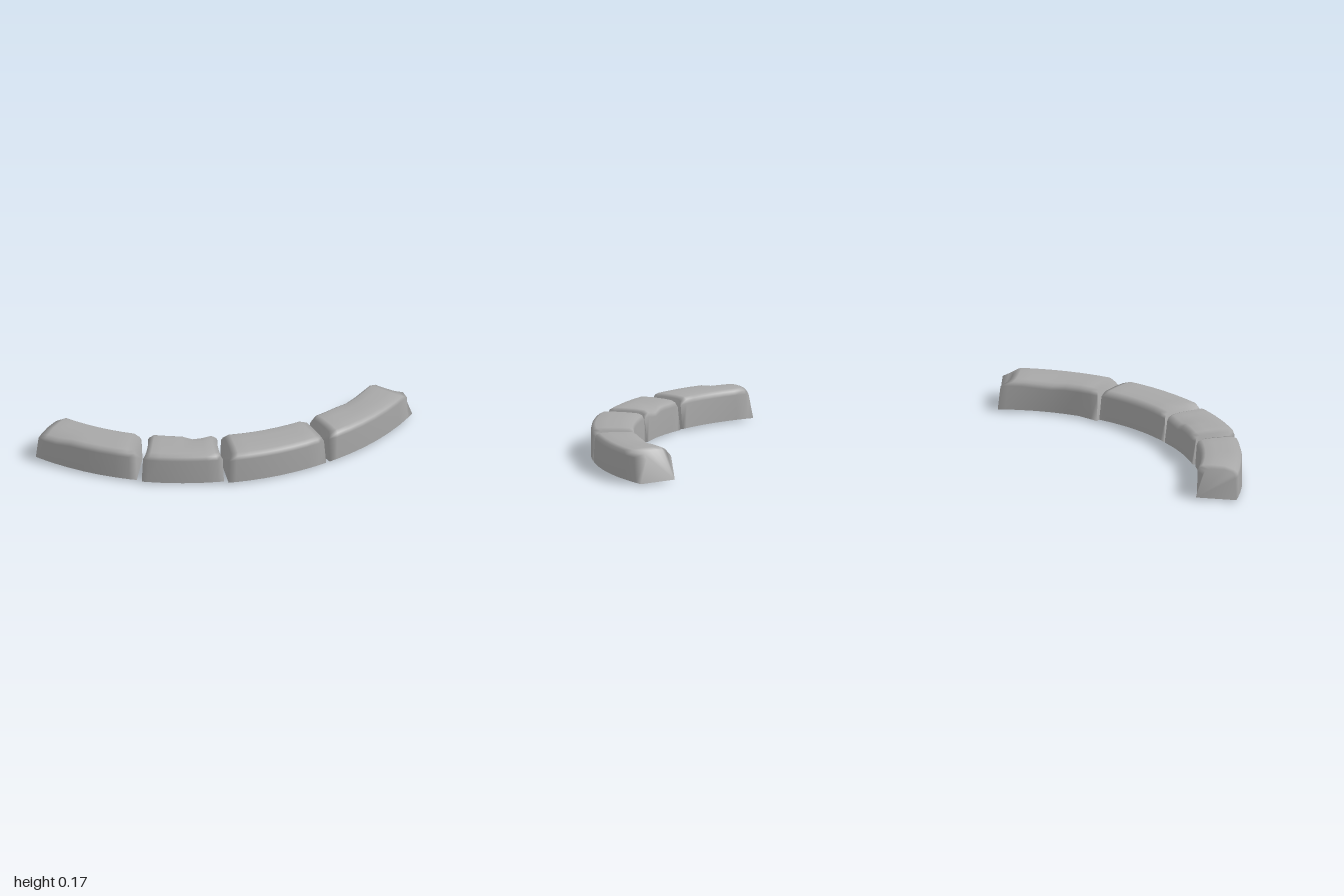
import * as THREE from 'three';

const CENTER_Z = -0.963; // centre of the kerb's arc
const DEG = Math.PI / 180;

// Cross-section, open underneath: [across the block 0 inner .. 1 outer, height]
const PROFILE = [
  [0, 0.01], [0, 0.14], [0.03, 0.161], [0.12, 0.172], [0.35, 0.175], [0.65, 0.175],
  [0.89, 0.172], [0.975, 0.161], [1, 0.14], [1, 0.01],
];

// Each end: angle at inner and outer side (degrees), inner and outer radius,
// lean of the end face and extra bevel at its top (radians),
// narrowing of the end face at its top (inner and outer side).
// Dents: position along and across the block, depth.
const JOINT = { lean: 0.004, bevel: 0.012, cutIn: 0.08, cutOut: 0.1 };
const BLOCKS = [
  { name: 'rightEndStone', dents: [[0.12, 1, 0.025]],
    start: { inner: -52.3, outer: -51.7, rIn: 1.062, rOut: 1.276, lean: 0.012, bevel: 0.01, cutIn: 0.2, cutOut: 0.05 },
    end: { ...JOINT, inner: -26.5, outer: -25.5, rIn: 1.045, rOut: 1.262 } },
  { name: 'rightMiddleStone', dents: [[0.7, 0, 0.025]],
    start: { ...JOINT, inner: -25.1, outer: -24.2, rIn: 1.037, rOut: 1.272 },
    end: { ...JOINT, inner: -4.8, outer: -4.8, rIn: 1.032, rOut: 1.258 } },
  { name: 'leftMiddleStone', dents: [],
    start: { ...JOINT, inner: -4.2, outer: -3.8, rIn: 1.034, rOut: 1.275, cutIn: 0.05, cutOut: 0.03 },
    end: { ...JOINT, inner: 22.1, outer: 21, rIn: 1.048, rOut: 1.268 } },
  { name: 'leftEndStone', dents: [[0.55, 0, 0.012]], sag: 0.01,
    start: { ...JOINT, inner: 22.9, outer: 22, rIn: 1.047, rOut: 1.268 },
    end: { inner: 52.3, outer: 51.7, rIn: 1.062, rOut: 1.276, lean: 0.016, bevel: 0.045, cutIn: 0.08, cutOut: 0.28 } },
];

function stoneGeometry({ start, end, dents, sag = 0 }) {
  const lerp = THREE.MathUtils.lerp;
  const steps = [0, 0.07, 0.2, 0.35, 0.5, 0.65, 0.8, 0.93, 1];
  const n = PROFILE.length;
  const pos = [];
  const index = [];

  steps.forEach((t, i) => {
    const side = i === 0 ? start : i === steps.length - 1 ? end : null;
    for (const [across, height] of PROFILE) {
      let u = across, y = height;
      const h = (height - 0.01) / 0.165;
      // worn spots along the top edges
      for (const [dt, du, depth] of dents) {
        y -= depth * h * Math.exp(-(((t - dt) / 0.13) ** 2) - ((across - du) / 0.25) ** 2);
      }
      if (side) { // narrow and lower the top of the end face
        u = lerp(side.cutIn * h, 1 - side.cutOut * h, u);
        y -= 0.01 * h * h;
      }
      // sagging lower corner
      if (across === 0 && height === 0.01) y -= sag * Math.max(0, 1 - t * 5);
      const shoulder = Math.max(0, (h - 0.79) / 0.21);
      const a0 = lerp(start.inner, start.outer, u) * DEG + start.lean * h + start.bevel * shoulder;
      const a1 = lerp(end.inner, end.outer, u) * DEG - end.lean * h - end.bevel * shoulder;
      const a = lerp(a0, a1, t);
      const r = lerp(lerp(start.rIn, end.rIn, t), lerp(start.rOut, end.rOut, t), u);
      pos.push(r * Math.sin(a), y, CENTER_Z + r * Math.cos(a));
    }
  });

  // Skin between neighbouring cross-sections
  for (let i = 0; i < steps.length - 1; i++) {
    for (let j = 0; j < n - 1; j++) {
      const a = i * n + j, b = a + 1, c = a + n, d = b + n;
      index.push(a, b, c, c, b, d);
    }
  }
  // End faces
  const last = (steps.length - 1) * n;
  for (let j = 1; j < n - 1; j++) {
    index.push(0, j + 1, j, last, last + j, last + j + 1);
  }

  const geometry = new THREE.BufferGeometry();
  geometry.setAttribute('position', new THREE.Float32BufferAttribute(pos, 3));
  geometry.setIndex(index);
  geometry.computeVertexNormals(); // soft shading over every edge
  return geometry;
}

export function createModel() {
  const group = new THREE.Group();
  group.name = 'curvedStoneKerb';
  const material = new THREE.MeshStandardMaterial({ color: 0xa8a8a8, side: THREE.DoubleSide });
  for (const block of BLOCKS) {
    const mesh = new THREE.Mesh(stoneGeometry(block), material);
    mesh.name = block.name;
    group.add(mesh);
  }
  return group;
}
